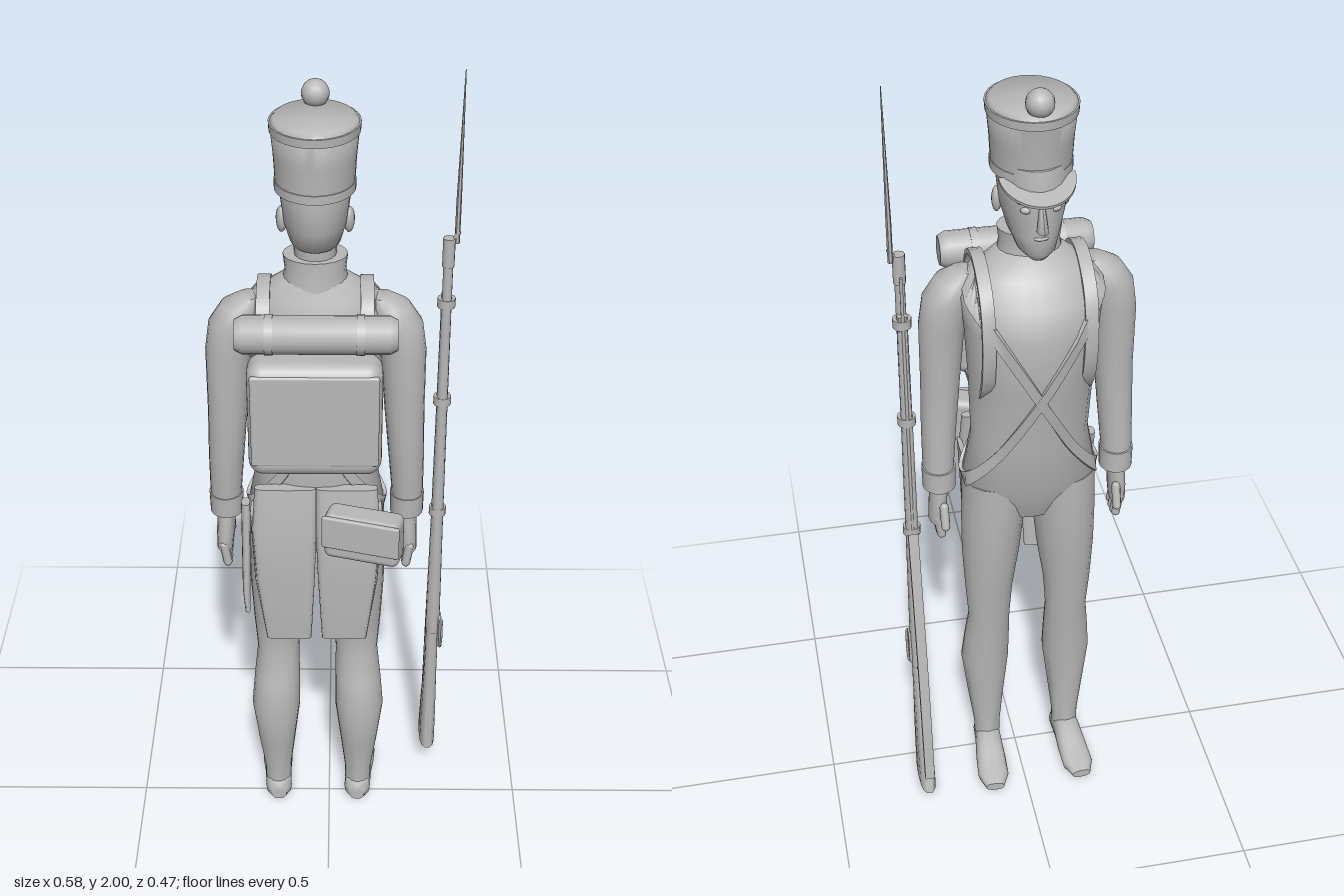
import * as THREE from 'three';
import { toCreasedNormals } from 'three/addons/utils/BufferGeometryUtils.js';
import { RoundedBoxGeometry } from 'three/addons/geometries/RoundedBoxGeometry.js';

const grey = new THREE.MeshStandardMaterial({ color: 0xb8b8b8, side: THREE.DoubleSide });
grey.name = 'plain grey';

// Surface through rows of points, closed around each row
function rowsGeometry(rows, loop = false) {
  const n = rows[0].length, pos = rows.flat(2), index = [];
  const last = loop ? rows.length : rows.length - 1;
  for (let i = 0; i < last; i++) {
    const r = i * n, q = ((i + 1) % rows.length) * n;
    for (let j = 0; j < n; j++) {
      const k = (j + 1) % n;
      index.push(r + j, q + j, r + k, r + k, q + j, q + k);
    }
  }
  const g = new THREE.BufferGeometry();
  g.setAttribute('position', new THREE.Float32BufferAttribute(pos, 3));
  g.setIndex(index);
  return toCreasedNormals(g, 0.95);
}

// Stack of ellipses [y, cx, cz, rx, rz], capped; power below 1 is boxier
function loft(sections, n = 18, power = 1) {
  const bend = v => Math.sign(v) * Math.abs(v) ** power;
  const ring = ([y, cx, cz, rx, rz]) => Array.from({ length: n }, (_, j) => {
    const a = (j / n) * Math.PI * 2;
    return [cx + rx * bend(Math.cos(a)), y, cz + rz * bend(Math.sin(a))];
  });
  const point = ([y, cx, cz]) => ring([y, cx, cz, 0, 0]);
  return rowsGeometry([point(sections[0]), ...sections.map(ring), point(sections.at(-1))]);
}

// Flat strap following [y, z] points, its width along x
function strap(points, x, width, thick) {
  const curve = new THREE.CatmullRomCurve3(points.map(([y, z]) => new THREE.Vector3(x, y, z)));
  const rows = [];
  for (let i = 0; i <= 24; i++) {
    const p = curve.getPoint(i / 24), t = curve.getTangent(i / 24), w = width / 2, h = thick / 2;
    rows.push([[-w, -h], [w, -h], [w, h], [-w, h]].map(([a, b]) => [p.x + a, p.y - t.z * b, p.z + t.y * b]));
  }
  return rowsGeometry(rows);
}

const torso = [
  [0.84, 0, -0.01, 0.09, 0.06], [0.95, 0, -0.015, 0.165, 0.1], [1.08, 0, -0.02, 0.14, 0.105],
  [1.25, 0, -0.032, 0.146, 0.122], [1.4, 0, -0.04, 0.155, 0.13], [1.47, 0, -0.033, 0.165, 0.115],
  [1.52, 0, -0.02, 0.135, 0.085], [1.565, 0, -0.008, 0.07, 0.058],
];

// Belt slung from one shoulder to the opposite hip, hugging the torso
function crossBelt(side) {
  const at = (y, a, off) => {
    const i = Math.max(0, torso.findIndex((s, k) => k < torso.length - 1 && torso[k + 1][0] >= y));
    const A = torso[i], B = torso[i + 1], t = (y - A[0]) / (B[0] - A[0]);
    const [, , cz, rx, rz] = A.map((v, k) => v + (B[k] - v) * t);
    return [(rx + off) * Math.cos(a), y, cz + (rz + off) * Math.sin(a)];
  };
  const rows = [];
  for (let i = 0; i < 64; i++) {
    const a = (i / 64) * Math.PI * 2, y = 1.235 + 0.285 * Math.cos(a) * side;
    rows.push([[-0.024, 0], [0.024, 0], [0.024, 0.009], [-0.024, 0.009]].map(([d, o]) => at(y + d, a, o)));
  }
  return rowsGeometry(rows, true);
}

export function createModel() {
  const model = new THREE.Group();
  const soldier = new THREE.Group();
  soldier.name = 'soldier';
  soldier.position.x = -0.03;
  model.add(soldier);
  let parent = soldier;
  const add = (name, geometry, x = 0, y = 0, z = 0) => {
    const m = new THREE.Mesh(geometry, grey);
    m.name = name;
    m.position.set(x, y, z);
    parent.add(m);
    return m;
  };

  // Body, collar and head
  add('torso', loft(torso, 24));
  add('collar', loft([[1.535, 0, -0.006, 0.078, 0.064], [1.58, 0, -0.006, 0.068, 0.057], [1.615, 0, -0.008, 0.072, 0.058]], 20));
  add('neck', loft([[1.58, 0, -0.01, 0.045, 0.045], [1.67, 0, -0.01, 0.05, 0.05]]));
  add('head', loft([
    [1.585, 0, -0.095, 0.02, 0.025], [1.605, 0, -0.08, 0.042, 0.056], [1.64, 0, -0.043, 0.058, 0.092],
    [1.69, 0, -0.034, 0.071, 0.106], [1.75, 0, -0.032, 0.078, 0.106], [1.8, 0, -0.03, 0.075, 0.1],
  ], 20));
  add('nose', loft([[1.668, 0, -0.143, 0.013, 0.02], [1.68, 0, -0.145, 0.012, 0.02], [1.725, 0, -0.134, 0.006, 0.008]], 8));
  add('lips', new THREE.SphereGeometry(0.02, 10, 6), 0, 1.645, -0.127).scale.set(1, 0.3, 0.6);
  for (const s of [-1, 1]) {
    add('eye', new THREE.SphereGeometry(0.012, 10, 8), s * 0.03, 1.712, -0.124).scale.set(1.2, 0.7, 0.8);
    add('brow', new THREE.SphereGeometry(0.02, 10, 6), s * 0.032, 1.732, -0.126).scale.set(1, 0.25, 0.5);
    const ear = add('ear', new THREE.SphereGeometry(0.03, 10, 8), s * 0.074, 1.69, -0.02);
    ear.scale.set(0.4, 1, 0.6);
    ear.rotation.y = s * -0.3;
  }

  // Tall cap, visor and pompom
  add('cap', loft([[1.768, 0, -0.022, 0.086, 0.098], [1.84, 0, -0.024, 0.09, 0.102], [1.912, 0, -0.026, 0.097, 0.111], [1.922, 0, -0.026, 0.088, 0.1]], 28));
  add('cap band', loft([[1.766, 0, -0.022, 0.089, 0.101], [1.786, 0, -0.022, 0.089, 0.101]], 28));
  add('cap rim', loft([[1.895, 0, -0.026, 0.098, 0.112], [1.914, 0, -0.026, 0.099, 0.113]], 28));
  const brim = new THREE.Shape().absellipse(0, 0, 0.082, 0.1, 0, Math.PI);
  const visor = add('visor', new THREE.ExtrudeGeometry(brim, { depth: 0.007, bevelEnabled: false, curveSegments: 16 }).rotateX(-Math.PI / 2), 0, 1.764, -0.08);
  visor.rotation.x = -0.25;
  add('pompom', new THREE.SphereGeometry(0.031, 14, 10), 0, 1.942, -0.106);

  // Limbs, tails and straps, mirrored
  for (const s of [-1, 1]) {
    add('arm', loft([
      [0.93, s * 0.217, -0.01, 0.037, 0.04], [1.0, s * 0.217, -0.006, 0.038, 0.042], [1.1, s * 0.212, 0.002, 0.042, 0.045],
      [1.22, s * 0.205, 0.005, 0.046, 0.047], [1.38, s * 0.198, 0, 0.053, 0.053], [1.45, s * 0.186, -0.002, 0.055, 0.055],
      [1.495, s * 0.166, -0.002, 0.046, 0.046], [1.515, s * 0.15, -0.002, 0.026, 0.028],
    ]));
    add('cuff', loft([[0.93, s * 0.217, -0.01, 0.04, 0.044], [0.985, s * 0.217, -0.008, 0.041, 0.045]]));
    add('palm', loft([[0.825, s * 0.225, -0.005, 0.02, 0.036], [0.87, s * 0.222, -0.008, 0.022, 0.04], [0.95, s * 0.217, -0.01, 0.022, 0.026]], 12));
    for (let i = 0; i < 4; i++) {
      const finger = add('finger', new THREE.CapsuleGeometry(0.011, 0.05, 3, 8), s * 0.222, 0.818 - (i === 1 || i === 2 ? 0.008 : 0), 0.024 - i * 0.019);
      finger.rotation.z = s * -0.15;
    }
    const thumb = add('thumb', new THREE.CapsuleGeometry(0.011, 0.05, 3, 8), s * 0.212, 0.86, -0.054);
    thumb.rotation.x = 0.35;

    add('leg', loft([
      [0.03, s * 0.107, 0, 0.033, 0.036], [0.1, s * 0.107, 0, 0.035, 0.034], [0.2, s * 0.108, 0.008, 0.047, 0.044],
      [0.33, s * 0.108, 0.013, 0.062, 0.058], [0.42, s * 0.104, 0, 0.058, 0.053], [0.5, s * 0.1, -0.014, 0.053, 0.047],
      [0.6, s * 0.1, -0.015, 0.06, 0.057], [0.72, s * 0.094, -0.012, 0.072, 0.073], [0.84, s * 0.088, -0.012, 0.078, 0.083],
      [0.95, s * 0.082, -0.012, 0.08, 0.085],
    ]));
    const foot = add('foot', loft([
      [-0.043, 0, 0.03, 0.02, 0.024], [-0.025, 0, 0.036, 0.034, 0.036], [0.03, 0, 0.04, 0.035, 0.04],
      [0.08, 0, 0.028, 0.039, 0.028], [0.14, 0, 0.02, 0.04, 0.02], [0.178, 0, 0.017, 0.024, 0.012],
    ], 14, 0.8).rotateX(-Math.PI / 2), s * 0.107);
    foot.rotation.y = s * -0.06;

    add('coat tail', loft([
      [0.615, s * 0.068, 0.095, 0.055, 0.01], [0.8, s * 0.074, 0.105, 0.07, 0.012],
      [0.95, s * 0.075, 0.1, 0.076, 0.014], [1.055, s * 0.072, 0.085, 0.072, 0.014],
    ], 16, 0.5));
    add('tail fold', loft([[0.62, s * 0.118, 0.085, 0.006, 0.012], [0.8, s * 0.142, 0.08, 0.006, 0.028], [0.98, s * 0.15, 0.065, 0.006, 0.035]], 12, 0.5));
    add('pack strap', strap([[1.42, 0.1], [1.515, 0.066], [1.543, 0], [1.53, -0.06], [1.48, -0.118], [1.38, -0.138], [1.26, -0.11], [1.18, -0.02], [1.17, 0.1]], s * 0.115, 0.03, 0.012));
    add('cross belt', crossBelt(s));
  }

  // Knapsack with bedroll
  add('knapsack', new RoundedBoxGeometry(0.3, 0.285, 0.1, 4, 0.035), 0, 1.293, 0.145);
  add('knapsack flap', new RoundedBoxGeometry(0.285, 0.23, 0.012, 3, 0.006), 0, 1.3, 0.19);
  const profile = [[0, -0.178], [0.034, -0.178], [0.043, -0.16], [0.043, 0.16], [0.034, 0.178], [0, 0.178]];
  const roll = new THREE.LatheGeometry(profile.map(p => new THREE.Vector2(...p)), 18).rotateZ(-Math.PI / 2);
  add('bedroll', toCreasedNormals(roll, 0.7), 0.003, 1.487, 0.132);
  for (const x of [-0.1, 0.1]) {
    add('bedroll strap', new THREE.CylinderGeometry(0.045, 0.045, 0.018, 18).rotateZ(Math.PI / 2), x, 1.487, 0.132);
  }

  // Cartridge pouch and scabbard
  const pouch = add('cartridge pouch', new RoundedBoxGeometry(0.18, 0.12, 0.07, 3, 0.018), 0.112, 0.985, 0.176);
  pouch.rotation.y = -0.28;
  const lid = add('pouch lid', new RoundedBoxGeometry(0.184, 0.085, 0.012, 2, 0.005), 0.103, 1.0, 0.208);
  lid.rotation.y = -0.28;
  add('scabbard', loft([[0.7, -0.168, 0.1, 0.006, 0.008], [0.76, -0.17, 0.092, 0.009, 0.012], [0.99, -0.168, 0.05, 0.011, 0.018]], 10));

  // Musket standing at the side
  parent = new THREE.Group();
  parent.name = 'musket';
  parent.position.x = 0.268;
  model.add(parent);
  add('stock', loft([
    [0.08, 0, -0.15, 0.021, 0.071], [0.2, 0, -0.132, 0.02, 0.053], [0.34, 0, -0.107, 0.017, 0.027],
    [0.44, 0, -0.094, 0.016, 0.018], [0.55, 0, -0.093, 0.018, 0.021], [0.87, 0, -0.093, 0.015, 0.019], [1.47, 0, -0.094, 0.012, 0.015],
  ], 14, 0.75));
  add('barrel', new THREE.CylinderGeometry(0.011, 0.014, 1.12, 12), 0, 1.05, -0.084);
  add('ramrod', new THREE.CylinderGeometry(0.004, 0.004, 0.7, 6), 0, 1.22, -0.109);
  for (const y of [0.87, 1.19, 1.45]) {
    add('barrel band', new THREE.CylinderGeometry(0.021, 0.021, 0.022, 12), 0, y, -0.092);
  }
  add('lock plate', new RoundedBoxGeometry(0.01, 0.1, 0.026, 2, 0.004), 0.017, 0.49, -0.09);
  add('hammer', loft([[0.44, 0.021, -0.085, 0.005, 0.01], [0.48, 0.021, -0.074, 0.006, 0.012], [0.53, 0.021, -0.076, 0.005, 0.006]], 8));
  add('trigger guard', strap([[0.53, -0.11], [0.5, -0.13], [0.45, -0.128], [0.42, -0.105]], 0, 0.012, 0.005));
  add('sling', strap([[0.87, -0.11], [0.7, -0.145], [0.45, -0.19], [0.15, -0.228]], 0, 0.024, 0.014));
  add('bayonet socket', new THREE.CylinderGeometry(0.014, 0.014, 0.07, 12), 0, 1.58, -0.084);
  const elbow = add('bayonet elbow', new THREE.CylinderGeometry(0.005, 0.006, 0.045, 8), 0.011, 1.61, -0.087);
  elbow.rotation.z = -0.5;
  add('bayonet blade', loft([[1.6, 0.018, -0.09, 0.006, 0.008], [1.7, 0.018, -0.09, 0.006, 0.009], [2, 0.02, -0.09, 0.001, 0.001]], 6));
  return model;
}
